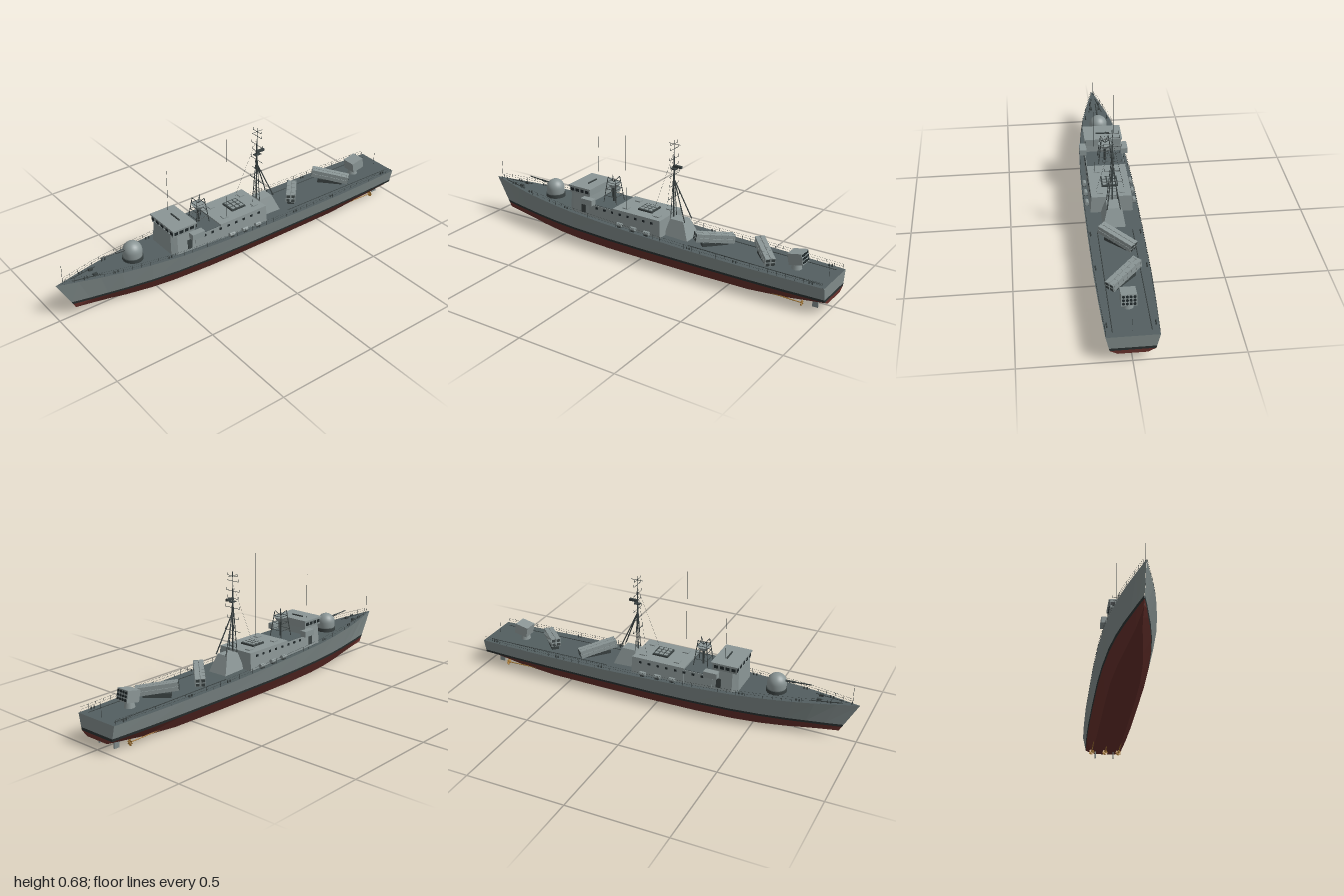
import * as THREE from 'three';

const mat = (name, color) => Object.assign(new THREE.MeshStandardMaterial({ color }), { name });
const M = {
  hull: mat('hull grey', 0x7f8a89), house: mat('superstructure grey', 0x8a9595),
  deck: mat('deck grey', 0x535e60), red: mat('antifouling red', 0x66302b),
  boot: mat('boot stripe', 0x2a3131), dark: mat('dark metal', 0x3a4242),
  glass: mat('window glass', 0x20282a), brass: mat('brass', 0xa87a35),
};
const V = (x, y, z) => new THREE.Vector3(x, y, z);

// Hull stations: z, deck half width, deck height, waterline half width, keel half width, keel height, rake
const ST = [
  [1, .0005, .2, .0005, .0003, .04, .55], [.9, .028, .195, .02, .006, .03, .45],
  [.8, .055, .19, .037, .014, .02, .35], [.7, .078, .185, .055, .026, .011, .25],
  [.55, .102, .178, .077, .042, .003, .1], [.4, .12, .172, .093, .056, 0, 0],
  [.2, .13, .165, .106, .068, 0, 0], [0, .134, .158, .112, .071, 0, 0],
  [-.3, .134, .148, .113, .071, 0, 0], [-.6, .132, .144, .112, .071, .003, 0],
  [-.8, .126, .142, .108, .071, .02, 0], [-1, .117, .14, .1, .065, .045, 0],
];
function at(z, k) {
  let i = 0;
  while (i < ST.length - 2 && ST[i + 1][0] > z) i++;
  const t = (ST[i][0] - z) / (ST[i][0] - ST[i + 1][0]);
  return ST[i][k] + (ST[i + 1][k] - ST[i][k]) * t;
}
const deckY = z => at(z, 2), deckX = z => at(z, 1);

function add(parent, name, geo, m, x = 0, y = 0, z = 0) {
  const mesh = new THREE.Mesh(geo, m);
  mesh.name = name;
  mesh.position.set(x, y, z);
  parent.add(mesh);
  return mesh;
}
const box = (p, name, m, w, h, d, x, y, z) => add(p, name, new THREE.BoxGeometry(w, h, d), m, x, y, z);
const cyl = (p, name, m, r0, r1, h, x, y, z, n = 16) => add(p, name, new THREE.CylinderGeometry(r1, r0, h, n), m, x, y, z);
function beam(p, name, m, a, b, r = .001, n = 5) {
  const d = b.clone().sub(a);
  const mesh = add(p, name, new THREE.CylinderGeometry(r, r, d.length(), n), m);
  mesh.position.copy(a).add(b).multiplyScalar(.5);
  mesh.quaternion.setFromUnitVectors(V(0, 1, 0), d.normalize());
  return mesh;
}
// Narrow a geometry (base y = 0, height h) towards its top
function taper(geo, h, sx, sz, dz = 0) {
  const p = geo.attributes.position;
  for (let i = 0; i < p.count; i++) {
    const t = p.getY(i) / h;
    p.setX(i, p.getX(i) * (1 + (sx - 1) * t));
    p.setZ(i, p.getZ(i) * (1 + (sz - 1) * t) + dz * t);
  }
  geo.computeVertexNormals();
  return geo;
}
const block = (w, h, d, sx = 1, sz = 1, dz = 0) => taper(new THREE.BoxGeometry(w, h, d).translate(0, h / 2, 0), h, sx, sz, dz);

function buildHull(g) {
  const sections = ST.map(([z, dw, dy, ww, kw, ky, rake]) => {
    const P = (x, y) => V(x, y, z - rake * (dy - y)), wl = .064, st = .077;
    return [P(0, ky), P(kw, ky), P(ww, wl), P(ww + (dw - ww) * (st - wl) / (dy - wl), st), P(dw, dy), P(0, dy)];
  });
  const names = ['bottom', 'bilge', 'bootStripe', 'hullSides', 'mainDeck'];
  const mats = [M.red, M.red, M.boot, M.hull, M.deck];
  const flip = v => V(-v.x, v.y, v.z);
  names.forEach((name, j) => {
    const pts = [];
    const quad = (a, b, c, d) => pts.push(a, b, c, a, c, d);
    for (let i = 0; i < sections.length - 1; i++) {
      const A = sections[i], B = sections[i + 1];
      quad(A[j], B[j], B[j + 1], A[j + 1]);
      quad(...[A[j + 1], B[j + 1], B[j], A[j]].map(flip));
    }
    const S = sections[sections.length - 1];
    if (j > 0 && j < 4) quad(S[j], flip(S[j]), flip(S[j + 1]), S[j + 1]); // transom
    const geo = new THREE.BufferGeometry().setFromPoints(pts);
    geo.computeVertexNormals();
    add(g, name, geo, mats[j]);
  });
}

function buildBridge(g) {
  // Lower body with chamfered front corners
  const s = new THREE.Shape([[-.1, .065], [-.1, -.04], [-.08, -.067], [.08, -.067], [.1, -.04], [.1, .065]].map(p => new THREE.Vector2(...p)));
  const geo = new THREE.ExtrudeGeometry(s, { depth: .12, bevelEnabled: false }).rotateX(-Math.PI / 2);
  add(g, 'bridgeBody', taper(geo, .12, .89, .95), M.house, 0, .162, .364);
  add(g, 'wheelhouse', block(.18, .035, .124, 1.04, 1.02), M.house, 0, .27, .362);
  box(g, 'bridgeRoof', M.house, .196, .007, .136, 0, .307, .361);
  for (let i = -2; i <= 2; i++) box(g, 'frontWindow', M.glass, .021, .016, .004, i * .04, .289, .4245);
  for (const s of [-1, 1]) {
    for (let i = 0; i < 4; i++) box(g, 'sideWindow', M.glass, .004, .016, .02, s * .0915, .289, .408 - i * .03);
    box(g, 'bridgeWing', M.house, .034, .03, .07, s * .107, .251, .3);
    box(g, 'bridgeDoor', M.dark, .004, .05, .025, s * .098, .205, .335);
  }
  box(g, 'roofLocker', M.dark, .07, .006, .006, 0, .313, .35);
}

function buildDeckhouse(g) {
  add(g, 'forwardHouse', block(.204, .075, .15, .96), M.house, 0, .158, .227);
  box(g, 'forwardHouseRoof', M.deck, .19, .004, .142, 0, .234, .226);
  add(g, 'aftHouse', block(.21, .092, .285, .94, .98), M.house, 0, .15, .014);
  for (const s of [-1, 1]) {
    for (let i = 0; i < 8; i++) box(g, 'houseWindow', M.glass, .004, .011, .013, s * .1005, .221, .25 - i * .047);
    for (const z of [.1, .02, -.06]) {
      const raft = cyl(g, 'lifeRaft', M.house, .01, .01, .03, s * .117, deckY(z) + .014, z, 12);
      raft.rotation.x = Math.PI / 2;
      box(g, 'raftCradle', M.dark, .016, .008, .02, s * .117, deckY(z) + .003, z);
    }
    box(g, 'roofHatch', M.house, .028, .006, .03, s * .055, .244, .1);
    box(g, 'roofHatch', M.house, .028, .006, .03, s * .055, .244, -.085);
  }
  // Cell block on the roof
  box(g, 'cellBlock', M.dark, .082, .008, .082, 0, .246, 0);
  for (let i = -1; i <= 1; i++) for (let j = -1; j <= 1; j++) box(g, 'cellLid', M.house, .018, .005, .018, i * .025, .25, j * .025);
}

function buildRadarTower(g) {
  const z0 = .215;
  for (const a of [-1, 1]) for (const b of [-1, 1]) {
    beam(g, 'radarTowerLeg', M.dark, V(a * .036, .235, z0 + b * .038), V(a * .02, .365, z0 + b * .022), .0022);
    beam(g, 'radarTowerTop', M.dark, V(0, .34, z0), V(a * .02, .368, z0 + b * .022), .0018);
  }
  for (const [y, r] of [[.27, .033], [.305, .028], [.34, .024]]) for (const s of [-1, 1]) {
    beam(g, 'radarTowerBrace', M.dark, V(-r, y, z0 + s * r), V(r, y, z0 + s * r), .0015);
    beam(g, 'radarTowerBrace', M.dark, V(s * r, y, z0 - r), V(s * r, y, z0 + r), .0015);
  }
  cyl(g, 'radarBowl', M.house, .018, .034, .022, 0, .323, z0, 20);
  cyl(g, 'radarPost', M.dark, .006, .006, .08, 0, .273, z0, 8);
}

function buildMast(g) {
  const z0 = -.142, foot = .235;
  add(g, 'mastHouse', block(.11, .087, .134, .56, .56, .008), M.house, 0, .149, -.187);
  beam(g, 'mastPole', M.dark, V(0, foot, z0), V(0, .55, z0), .0035, 8);
  beam(g, 'topMast', M.dark, V(0, .55, z0), V(0, .632, z0), .0014);
  for (const s of [-1, 1]) {
    beam(g, 'mastLeg', M.dark, V(s * .032, foot, -.226), V(0, .435, z0), .003, 6);
    beam(g, 'mastSideLeg', M.dark, V(s * .027, foot, z0), V(0, .5, z0), .002, 6);
    beam(g, 'stayWire', M.dark, V(s * .068, .243, -.06), V(0, .575, z0), .0005, 4);
  }
  for (let y = .26; y < .5; y += .02) {
    const w = .028 * (.52 - y) / .28;
    beam(g, 'mastRung', M.dark, V(-w, y, z0), V(w, y, z0), .001);
  }
  // Yards with upturned ends
  for (const [y, w] of [[.612, .031], [.587, .036], [.538, .042], [.502, .036], [.455, .045], [.402, .037], [.34, .05]]) {
    beam(g, 'yard', M.dark, V(-w, y, z0), V(w, y, z0), .0013);
    for (const s of [-1, 1]) beam(g, 'yardTip', M.dark, V(s * w, y, z0), V(s * w, y + .012, z0), .0011);
  }
  beam(g, 'foreAftYard', M.dark, V(0, .612, z0 - .033), V(0, .612, z0 + .03), .0012);
  box(g, 'searchRadar', M.dark, .012, .012, .045, 0, .5, z0 - .02);
  box(g, 'mastPlatform', M.dark, .02, .005, .03, 0, .485, z0);
}

function buildGun(g) {
  const z = .595;
  cyl(g, 'gunRing', M.dark, .05, .05, .018, 0, .188, z, 28);
  const dome = [[.044, 0], [.047, .006], [.047, .03]];
  for (let i = 1; i <= 8; i++) dome.push([.047 * Math.cos(i * Math.PI / 16), .03 + .047 * Math.sin(i * Math.PI / 16)]);
  add(g, 'gunDome', new THREE.LatheGeometry(dome.map(p => new THREE.Vector2(Math.max(p[0], 0), p[1])), 28), M.house, 0, .196, z);
  beam(g, 'gunBarrelSleeve', M.dark, V(0, .243, z + .03), V(0, .246, z + .09), .005, 10);
  beam(g, 'gunBarrel', M.dark, V(0, .246, z + .08), V(0, .251, .765), .003, 8);
}

function buildLauncher(g, z, yaw) {
  const L = new THREE.Group();
  L.name = 'missileLauncher';
  L.rotation.order = 'YXZ';
  L.rotation.set(-.15, yaw, 0);
  L.position.set(0, .185, z);
  for (const a of [-1, 1]) for (const b of [-1, 1]) {
    box(L, 'launchTube', M.house, .022, .019, .196, a * .0125, b * .0105, 0);
    for (const e of [-1, 1]) box(L, 'tubeCap', M.dark, .017, .014, .002, a * .0125, b * .0105, e * .0985);
    for (let i = -3; i <= 3; i++) box(L, 'tubeRib', M.house, .0245, .0208, .004, a * .0125, b * .0105, i * .03);
  }
  g.add(L);
  const base = box(g, 'launcherBase', M.dark, .036, .022, .13, 0, .153, z);
  base.rotation.y = yaw;
}

function buildSternLauncher(g) {
  const y = deckY(-.81);
  cyl(g, 'sternPedestal', M.house, .026, .02, .03, 0, y + .013, -.81, 16);
  const L = new THREE.Group();
  L.name = 'sternLauncher';
  L.position.set(0, .2, -.815);
  L.rotation.x = .2;
  box(L, 'launcherBox', M.house, .07, .055, .072, 0, 0, 0);
  for (let i = 0; i < 4; i++) for (let j = 0; j < 3; j++) {
    const t = cyl(L, 'launcherMuzzle', M.glass, .0065, .0065, .004, (i - 1.5) * .0165, (j - 1) * .017, -.0365, 10);
    t.rotation.x = Math.PI / 2;
  }
  g.add(L);
}

function buildDeckFittings(g) {
  for (const s of [-1, 1]) {
    // Guard rails
    const N = 44, P = (i, h) => { const z = .96 - i * 1.95 / N; return V(s * (deckX(z) - .003), deckY(z) + h, z); };
    for (let i = 0; i <= N; i++) {
      beam(g, 'railPost', M.dark, P(i, 0), P(i, .024), .0007, 4);
      if (i < N) for (const h of [.012, .024]) beam(g, 'guardRail', M.dark, P(i, h), P(i + 1, h), .0005, 4);
    }
    beam(g, 'deckTrack', M.dark, V(s * .085, deckY(-.28) + .001, -.28), V(s * .085, deckY(-.97) + .001, -.97), .002, 4);
    beam(g, 'anchorChain', M.dark, V(s * .035, deckY(.78) + .002, .78), V(s * .01, deckY(.92) + .002, .92), .0025, 4);
    box(g, 'windlass', M.dark, .012, .012, .02, s * .022, deckY(.81) + .005, .81);
    for (const z of [.86, .72, .45, -.3, -.55, -.93]) for (const d of [-.008, .008])
      cyl(g, 'bollard', M.dark, .0035, .0035, .012, s * (deckX(z) - .014), deckY(z) + .005, z + d, 8);
    // Rudders, shafts and propellers
    box(g, 'rudder', M.hull, .005, .045, .028, s * .05, .024, -.935);
  }
  for (const x of [-.075, 0, .075]) {
    beam(g, 'propShaft', M.brass, V(x, .022, -.7), V(x, .017, -.885), .0025, 8);
    for (let k = 0; k < 4; k++) {
      const b = box(g, 'propBlade', M.brass, .009, .03, .002, x, .017, -.88);
      b.rotation.set(0, 0, k * Math.PI / 4);
      b.rotateY(.5);
    }
  }
  // Whip aerials and flagstaffs
  for (const [x, y0, y1, z] of [[.066, .24, .675, .094], [-.058, .31, .538, .352], [0, .198, .295, .965], [0, .14, .208, -.97]])
    beam(g, 'whipAerial', M.dark, V(x, y0, z), V(x, y1, z), .0009);
}

export function createModel() {
  const g = new THREE.Group();
  g.name = 'patrolShip';
  buildHull(g);
  buildBridge(g);
  buildDeckhouse(g);
  buildRadarTower(g);
  buildMast(g);
  buildGun(g);
  buildLauncher(g, -.375, .83);
  buildLauncher(g, -.645, -.82);
  buildSternLauncher(g);
  buildDeckFittings(g);
  return g;
}
